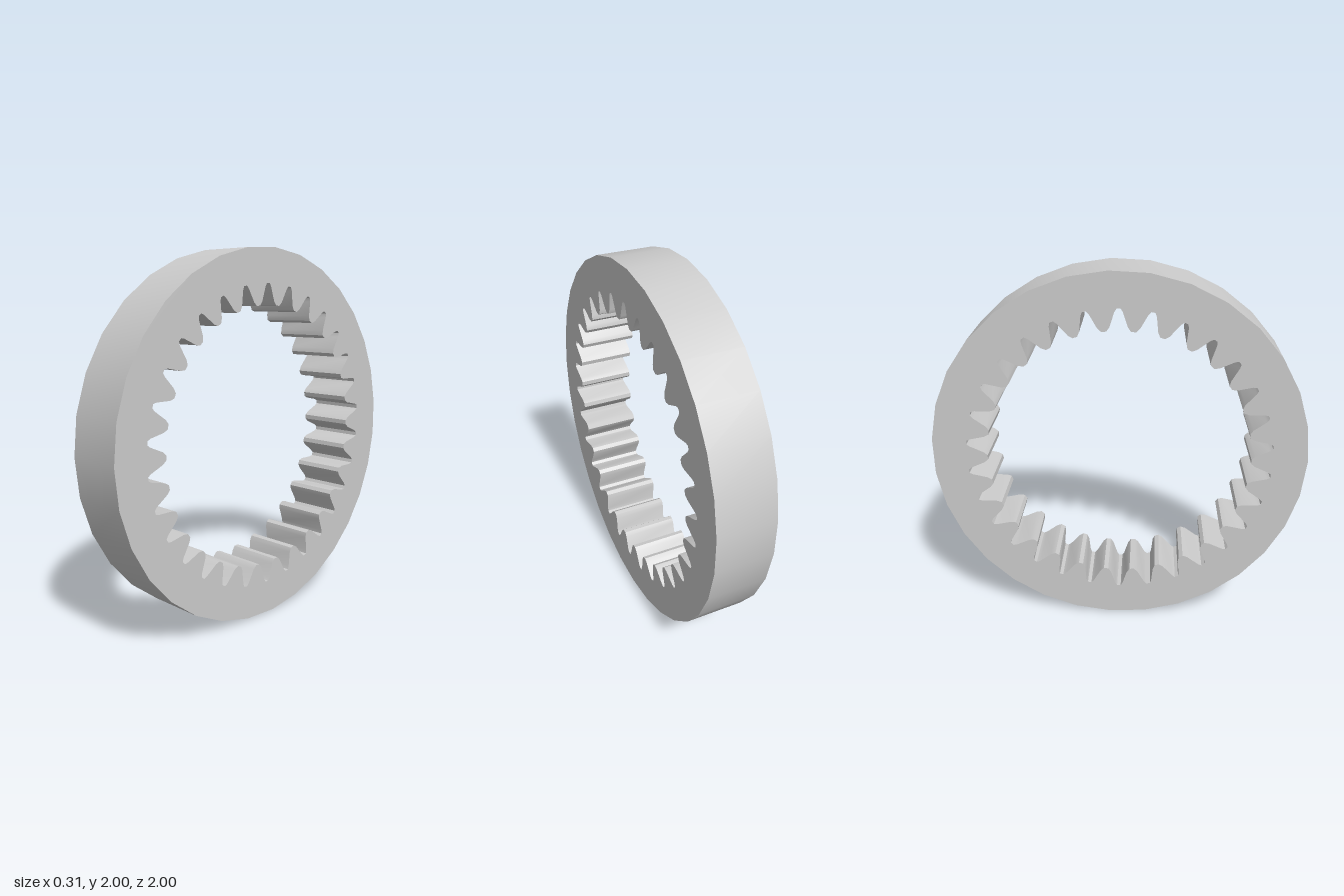
import * as THREE from 'three';
import { toCreasedNormals } from 'three/addons/utils/BufferGeometryUtils.js';

const SIDES = 31;      // facets of the outer rim
const TEETH = 30;      // inward-pointing teeth
const WIDTH = 0.315;

const polar = (radius, degrees) => {
  const a = THREE.MathUtils.degToRad(degrees);
  return new THREE.Vector2(radius * Math.cos(a), radius * Math.sin(a));
};

export function createModel() {
  const group = new THREE.Group();
  group.name = 'internalRingGear';

  // Outer rim
  const rim = [];
  for (let i = 0; i < SIDES; i++) rim.push(polar(1.001, (i * 360) / SIDES));
  const shape = new THREE.Shape(rim);

  // One tooth: [radius, degrees from tooth centre], chamfered at tip and root
  const half = [[0.704, 1], [0.725, 2.4], [0.8, 4.5], [0.817, 5.3]];
  const tooth = [
    ...half.map(([r, a]) => [r, -a]).reverse(),
    ...half,
  ];
  const bore = [];
  for (let i = 0; i < TEETH; i++) {
    for (const [r, a] of tooth) bore.push(polar(r, (i * 360) / TEETH + a));
  }
  shape.holes.push(new THREE.Path(bore));

  // Extrude the profile and turn its axis along x
  const extruded = new THREE.ExtrudeGeometry(shape, { depth: WIDTH, bevelEnabled: false });
  extruded.translate(0, 0, -WIDTH / 2);
  extruded.rotateY(-Math.PI / 2);
  extruded.translate(0, 1, -0.002);

  const ring = new THREE.Mesh(
    toCreasedNormals(extruded, 0.4),
    new THREE.MeshStandardMaterial({ color: 0xcccccc })
  );
  ring.name = 'toothedRing';
  group.add(ring);
  return group;
}
